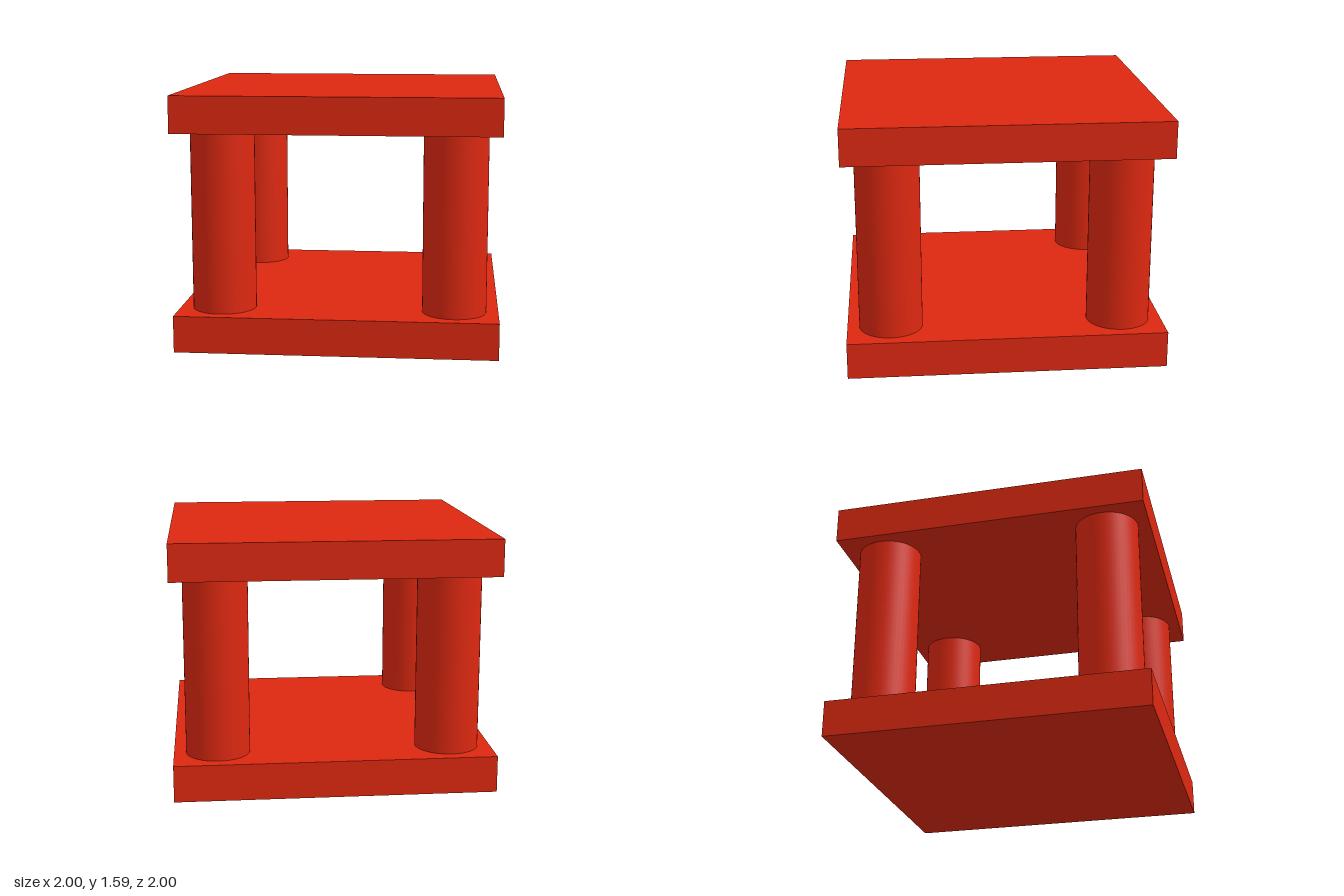
import * as THREE from 'three';

export function createModel() {
  const model = new THREE.Group();
  const red = new THREE.MeshStandardMaterial({ color: 0xdd2810 });
  const height = 1.59, slab = 0.23, radius = 0.2, offset = 0.725;

  const add = (name, geometry, x, y, z) => {
    const mesh = new THREE.Mesh(geometry, red);
    mesh.name = name;
    mesh.position.set(x, y, z);
    model.add(mesh);
  };

  // Square slabs at bottom and top
  const slabGeometry = new THREE.BoxGeometry(2, slab, 2);
  add('basePlate', slabGeometry, 0, slab / 2, 0);
  add('topPlate', slabGeometry, 0, height - slab / 2, 0);

  // Four round columns, one near each corner
  const columnGeometry = new THREE.CylinderGeometry(radius, radius, height - 2 * slab, 48);
  for (const [side, x] of [['Left', offset], ['Right', -offset]]) {
    for (const [end, z] of [['front', offset], ['back', -offset]]) {
      add(`${end}${side}Column`, columnGeometry, x, height / 2, z);
    }
  }
  return model;
}
